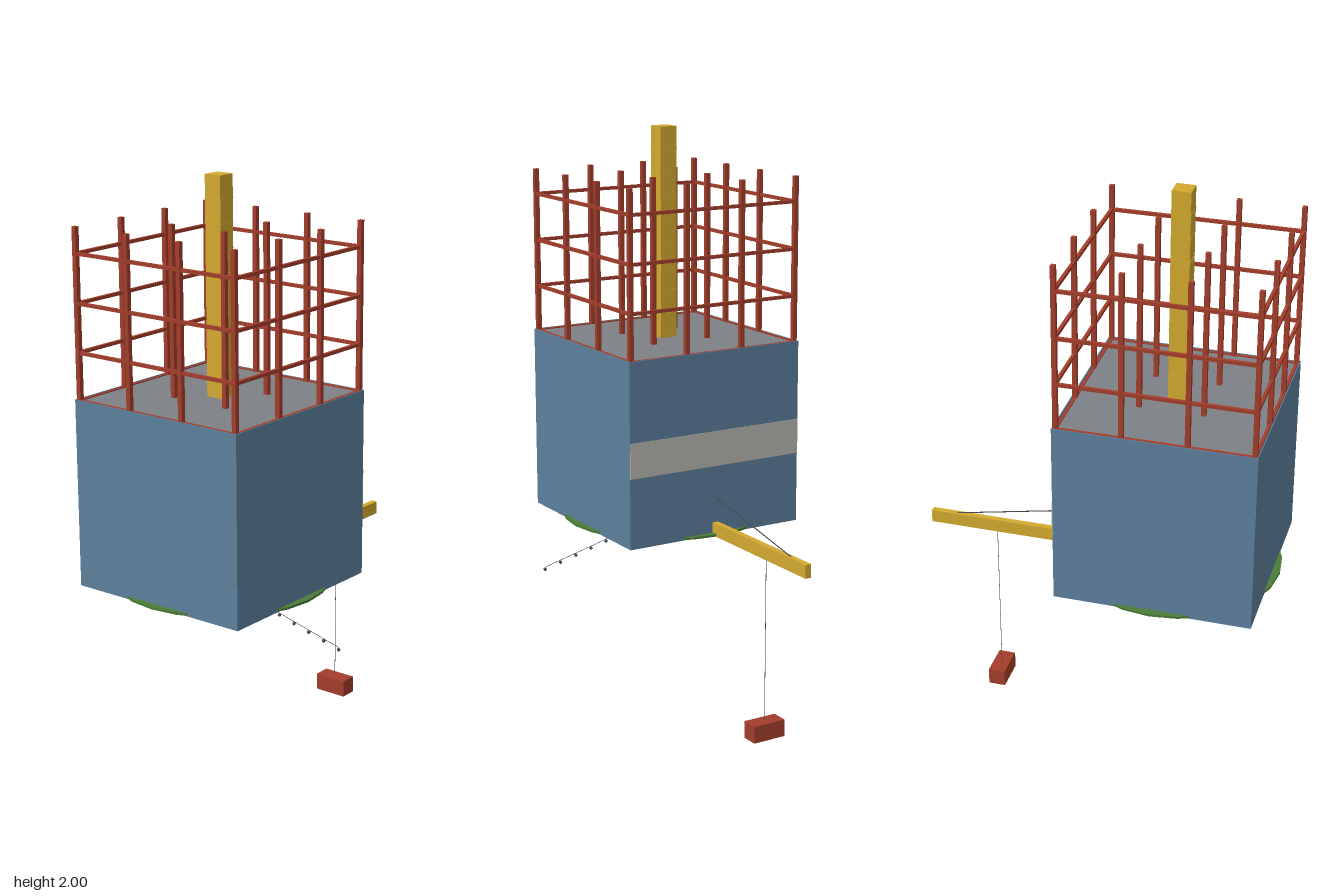
import * as THREE from 'three';

export function createModel() {
  const model = new THREE.Group();
  const CX = -0.065, CZ = 0.263;
  const mat = (color) => new THREE.MeshStandardMaterial({ color });
  const red = mat(0xa33d2b), yellow = mat(0xd2a92f), blue = mat(0x5c7f9c), grey = mat(0x7d8084);
  const dark = mat(0x484b52), green = mat(0x4a7c38), darkGreen = mat(0x3b622e), pale = mat(0xb9b7b0);

  const add = (name, geometry, material, x, y, z, parent = model) => {
    const mesh = new THREE.Mesh(geometry, material);
    mesh.name = name;
    mesh.position.set(x, y, z);
    parent.add(mesh);
    return mesh;
  };
  const box = (name, w, h, d, material, x, y, z, parent) =>
    add(name, new THREE.BoxGeometry(w, h, d), material, x, y, z, parent);
  const group = (name) => {
    const g = new THREE.Group();
    g.name = name;
    model.add(g);
    return g;
  };
  const cable = (name, from, to, radius, parent) => {
    const a = new THREE.Vector3(...from), b = new THREE.Vector3(...to);
    const mid = a.clone().lerp(b, 0.5);
    const mesh = add(name, new THREE.CylinderGeometry(radius, radius, a.distanceTo(b), 5), dark,
      mid.x, mid.y, mid.z, parent);
    mesh.quaternion.setFromUnitVectors(new THREE.Vector3(0, 1, 0), b.sub(a).normalize());
  };

  // Round base plate with flush patches underneath
  const base = group('base');
  add('basePlate', new THREE.CylinderGeometry(0.363, 0.363, 0.008, 24), green, CX, 0.638, CZ, base)
    .material.flatShading = true;
  for (let i = 0; i < 14; i++) {
    const a = i * 2.4, r = 0.13 + 0.014 * i;
    add('basePatch', new THREE.CylinderGeometry(0.016, 0.016, 0.003, 8), darkGreen,
      CX + r * Math.cos(a), 0.634, CZ + r * Math.sin(a), base);
  }

  // Steel frame: a 4 x 4 grid of columns with perimeter beams on every level
  const frame = group('steelFrame');
  const span = 0.324;
  for (let i = 0; i < 4; i++)
    for (let j = 0; j < 4; j++)
      box('column', 0.016, 1.21, 0.016, red, CX - span + i * span * 2 / 3, 1.237,
        CZ - span + j * span * 2 / 3, frame);
  for (let level = 0; level < 7; level++) {
    const y = 0.783 + level * 0.162;
    for (const s of [-1, 1]) {
      box('beam', span * 2, 0.011, 0.011, red, CX, y, CZ + s * span, frame);
      box('beam', 0.011, 0.011, span * 2, red, CX + s * span, y, CZ, frame);
    }
    // Floors only up to the open top deck
    if (level < 4) box('floor', 0.655, 0.01, 0.655, grey, CX, y - 0.003, CZ, frame);
  }

  // Cover sheets around the lower storeys, open underneath
  const cover = group('coverSheets');
  for (const s of [-1, 1]) {
    box('sheet', 0.672, 0.643, 0.004, blue, CX, 0.9535, CZ + s * 0.334, cover);
    box('sheet', 0.004, 0.643, 0.672, blue, CX + s * 0.334, 0.9535, CZ, cover);
  }
  box('banner', 0.672, 0.122, 0.003, pale, CX, 0.938, CZ - 0.3365, cover);

  // Crane: mast with bands, jib, cab, counterweight
  const crane = group('crane');
  box('mast', 0.063, 1.43, 0.063, yellow, CX, 1.285, CZ, crane);
  for (let y = 0.71; y < 1.95; y += 0.081)
    box('mastBand', 0.0655, 0.003, 0.0655, yellow, CX, y, CZ, crane);
  box('mastFoot', 0.07, 0.062, 0.066, yellow, CX, 0.602, CZ, crane);
  box('jib', 0.022, 0.046, 1.14, yellow, CX, 0.655, -0.055, crane);
  box('counterweight', 0.07, 0.042, 0.097, dark, CX, 0.614, 0.478, crane);
  box('cab', 0.036, 0.04, 0.024, dark, CX, 0.598, 0.233, crane);
  cable('stay', [CX, 0.835, CZ], [CX, 0.675, -0.54], 0.002, crane);
  cable('hoistCable', [CX, 0.635, -0.385], [CX, 0.06, -0.385], 0.001, crane);
  box('load', 0.122, 0.06, 0.06, red, CX, 0.03, -0.385, crane);

  // Sloping line of small lamps
  const lamps = group('lampString');
  for (let i = 0; i < 8; i++)
    add('lamp', new THREE.SphereGeometry(0.006, 8, 6), dark, -0.005 + i * 0.0607, 0.606 - i * 0.0155, CZ, lamps);
  cable('lampWire', [-0.03, 0.619, CZ], [0.42, 0.505, CZ], 0.001, lamps);

  return model;
}
